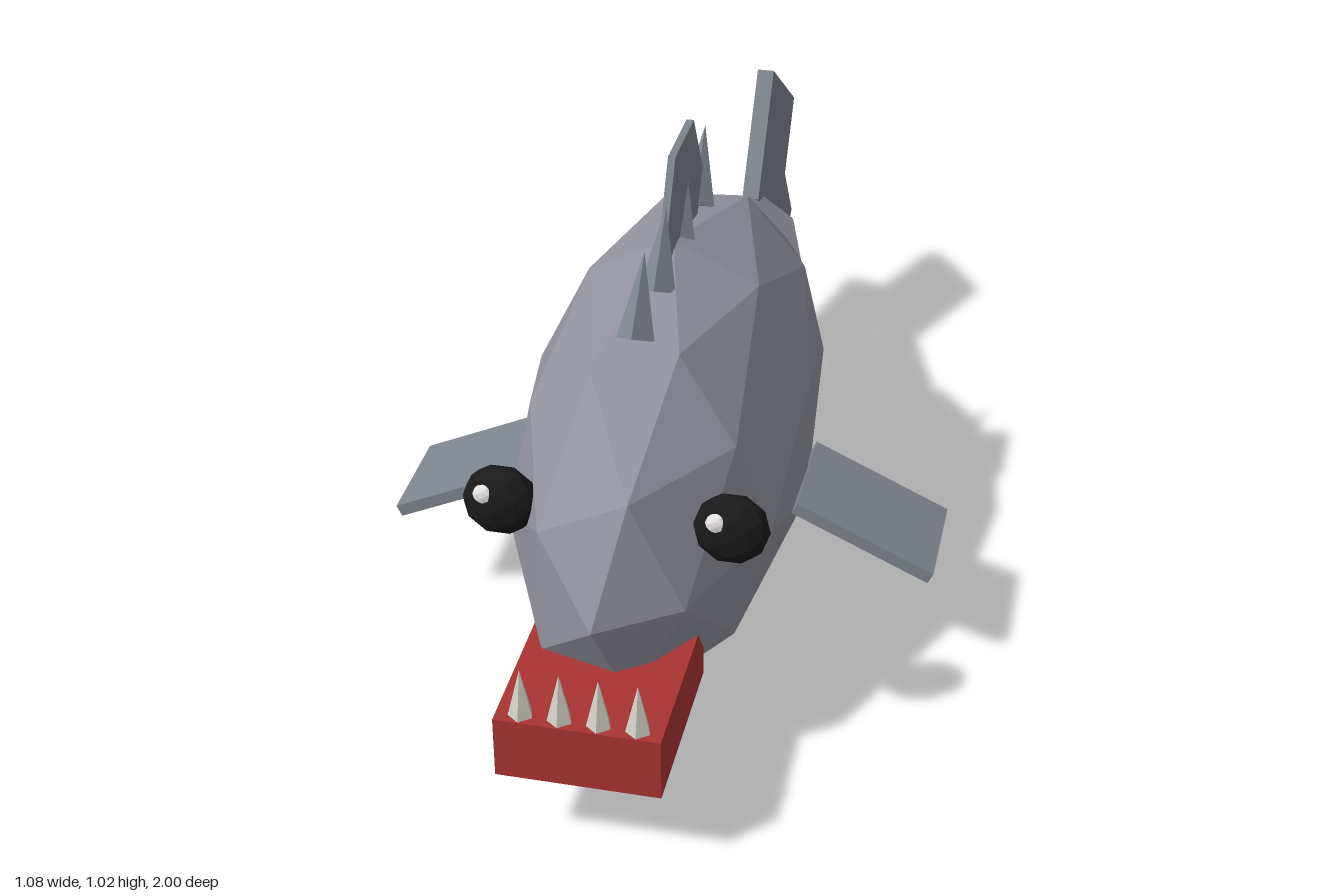
import * as THREE from 'three';

const mat = (name, color) => {
  const m = new THREE.MeshStandardMaterial({ color, flatShading: true });
  m.name = name;
  return m;
};

export function createModel() {
  const skin = mat('grey skin', 0x92929e);
  const finGrey = mat('fin grey', 0x7d848c);
  const red = mat('mouth red', 0xaa3333);
  const ivory = mat('tooth ivory', 0xd0d0c6);
  const black = mat('eye black', 0x1a1a1a);
  const white = mat('eye glint', 0xeeeaea);

  const group = new THREE.Group();
  const add = (name, geometry, material, x, y, z) => {
    const mesh = new THREE.Mesh(geometry, material);
    mesh.name = name;
    mesh.position.set(x, y, z);
    group.add(mesh);
    return mesh;
  };

  // Faceted body, one icosahedron corner pointing forward as the nose
  const body = new THREE.IcosahedronGeometry(1, 1);
  body.rotateX(Math.atan(2 / (1 + Math.sqrt(5))));
  body.rotateZ(Math.PI / 2);
  body.scale(0.28, 0.42, 0.67);
  add('body', body, skin, 0, 0.42, 0.22);

  // Five-sided tail stem, ridge on top
  const stem = new THREE.CylinderGeometry(0.157, 0.09, 0.245, 5);
  stem.rotateY(Math.PI);
  stem.rotateX(Math.PI / 2);
  if (stem.boundingBox === null) stem.computeBoundingBox();
  if (stem.boundingBox.max.y < 0.15) stem.rotateZ(Math.PI);
  add('tailStem', stem, skin, 0, 0.423, -0.4975);

  // Tail lobes, mirrored about the body's middle line
  for (const s of [1, -1]) {
    const lobe = add(s > 0 ? 'upperTailFin' : 'lowerTailFin',
      new THREE.BoxGeometry(0.036, 0.29, 0.34), finGrey, 0, 0.42 + s * 0.128, -0.774);
    lobe.rotation.x = -s * THREE.MathUtils.degToRad(35);
  }

  // Six-sided dorsal plate
  const dorsal = new THREE.CylinderGeometry(0.16, 0.16, 0.014, 6);
  dorsal.rotateZ(Math.PI / 2);
  add('dorsalFin', dorsal, finGrey, 0, 0.88, 0.15);

  // Row of back spikes leaning rearward
  for (let i = 0; i < 4; i++) {
    const spike = new THREE.ConeGeometry(0.035, 0.157, 4);
    spike.translate(0, 0.0785, 0);
    add('backSpike', spike, finGrey, 0, 0.805, 0.53 - i * 0.173)
      .rotation.x = -THREE.MathUtils.degToRad(30);
  }

  // Lower jaw and teeth
  add('lowerJaw', new THREE.BoxGeometry(0.3, 0.124, 0.35), red, 0, 0.233, 0.825);
  for (let i = 0; i < 4; i++) {
    add('tooth', new THREE.ConeGeometry(0.024, 0.1, 5), ivory, -0.105 + i * 0.07, 0.342, 0.975);
  }

  for (const s of [1, -1]) {
    const side = s > 0 ? 'left' : 'right';
    // Side fins slope downward
    add(side + 'SideFin', new THREE.BoxGeometry(0.295, 0.025, 0.22), finGrey, s * 0.4, 0.297, 0.25)
      .rotation.z = -s * THREE.MathUtils.degToRad(25);
    // Flattened eyes with a glint
    add(side + 'Eye', new THREE.IcosahedronGeometry(0.07, 1), black, s * 0.211, 0.545, 0.7)
      .scale.z = 0.65;
    add(side + 'EyeGlint', new THREE.IcosahedronGeometry(0.021, 1), white, s * 0.211 - 0.021, 0.572, 0.729)
      .scale.z = 0.65;
  }

  return group;
}
